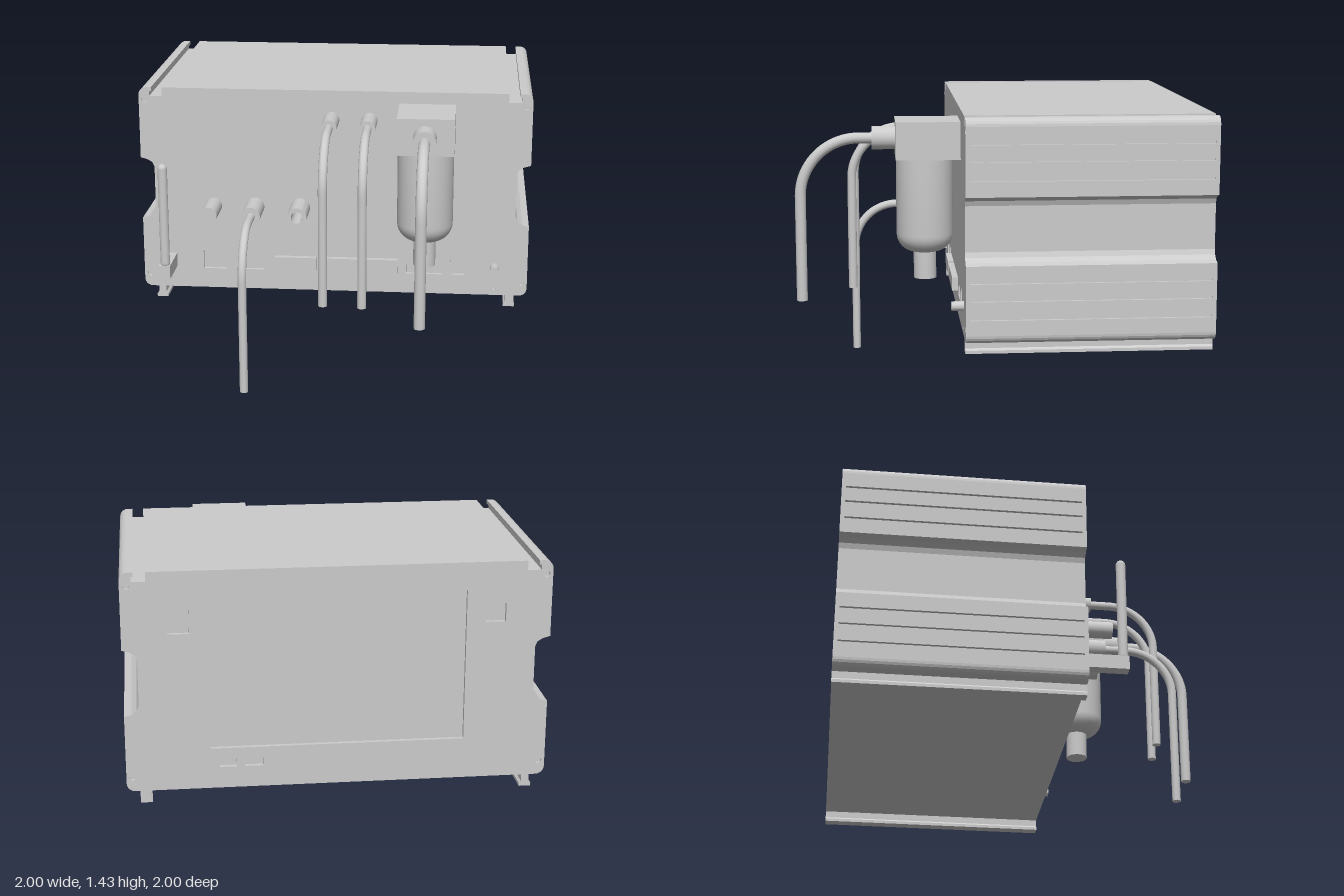
import * as THREE from 'three';
import { toCreasedNormals } from 'three/addons/utils/BufferGeometryUtils.js';

const V = (x, y, z) => new THREE.Vector3(x, y, z);
const FRONT = 0.19, BACK = -1, PLATE = 0.02;

export function createModel() {
  const model = new THREE.Group();
  const material = new THREE.MeshStandardMaterial({ color: 0xcccccc, side: THREE.DoubleSide });

  const add = (name, geometry, x = 0, y = 0, z = 0) => {
    const mesh = new THREE.Mesh(geometry, material);
    mesh.name = name;
    mesh.position.set(x, y, z);
    model.add(mesh);
    return mesh;
  };
  // Box given by its limits on each axis
  const box = (name, x0, x1, y0, y1, z0, z1) =>
    add(name, new THREE.BoxGeometry(x1 - x0, y1 - y0, z1 - z0), (x0 + x1) / 2, (y0 + y1) / 2, (z0 + z1) / 2);
  // Cylinder along z
  const rod = (name, x, y, r, z0, z1) =>
    add(name, new THREE.CylinderGeometry(r, r, z1 - z0, 28).rotateX(Math.PI / 2), x, y, (z0 + z1) / 2);
  // Hole outlines for the panels
  const rectHole = (x0, x1, y0, y1) =>
    new THREE.Path([[x0, y0], [x0, y1], [x1, y1], [x1, y0]].map(p => new THREE.Vector2(...p)));
  const roundHole = (x, y, r) => new THREE.Path().absarc(x, y, r, 0, Math.PI * 2, true);

  // Housing cross-section: rails below, T-slots above, side channels, optional fine side grooves
  function profile(grooved) {
    const half = [];
    const corner = (cy, from) => {
      for (let i = 0; i <= 5; i++) {
        const a = from + (i / 5) * Math.PI / 2;
        half.push([0.96 + 0.04 * Math.cos(a), cy + 0.04 * Math.sin(a)]);
      }
    };
    const grooves = ys => {
      if (grooved) for (const y of ys)
        half.push([1, y - 0.006], [0.985, y - 0.006], [0.985, y + 0.006], [1, y + 0.006]);
    };
    half.push([0.89, 0.36], [0.89, 0.325], [0.88, 0.315], [0.88, 0.3],
      [0.937, 0.3], [0.937, 0.315], [0.927, 0.325], [0.927, 0.36]);
    corner(0.4, -Math.PI / 2);
    grooves([0.48, 0.57, 0.655]);
    half.push([1, 0.735], [0.965, 0.745], [0.94, 0.765], [0.93, 0.79],
      [0.93, 1.01], [0.94, 1.035], [0.965, 1.05], [1, 1.06]);
    grooves([1.14, 1.23, 1.31]);
    corner(1.39, 0);
    half.push([0.935, 1.43], [0.935, 1.41], [0.945, 1.41], [0.945, 1.385], [0.88, 1.385], [0.88, 1.43]);
    const mirrored = half.map(([x, y]) => [-x, y]).reverse();
    return new THREE.Shape([...half, ...mirrored].map(p => new THREE.Vector2(...p)));
  }
  const extrude = (name, shape, z0, z1) =>
    add(name, new THREE.ExtrudeGeometry(shape, { depth: z1 - z0, bevelEnabled: false, curveSegments: 10 }), 0, 0, z0);
  const screwHoles = () => [-0.97, 0.97].flatMap(x => [0.43, 1.365].map(y => roundHole(x, y, 0.016)));

  // Housing core between the two end panels
  extrude('housing', profile(true), BACK + PLATE, FRONT - PLATE);

  // Front panel with sockets
  const frontPanel = profile(false);
  const steppedSocket = new THREE.Path([[0.375, 0.465], [0.375, 0.515], [0.41, 0.515], [0.41, 0.53],
    [0.53, 0.53], [0.53, 0.515], [0.56, 0.515], [0.56, 0.465]].map(p => new THREE.Vector2(...p)));
  frontPanel.holes = [...screwHoles(), rectHole(-0.685, -0.565, 0.465, 0.56),
    rectHole(-0.49, -0.37, 0.465, 0.56), rectHole(0.605, 0.675, 0.465, 0.55),
    steppedSocket, roundHole(0.83, 0.4, 0.013)];
  extrude('frontPanel', frontPanel, FRONT - PLATE, FRONT);

  // Back panel with recessed screen, side switches and small ports
  const backPanel = profile(false);
  backPanel.holes = [...screwHoles(), rectHole(-0.6, 0.6, 0.56, 1.295),
    rectHole(0.69, 0.79, 1.13, 1.26), rectHole(-0.785, -0.69, 1.14, 1.23),
    rectHole(0.48, 0.56, 0.465, 0.505), rectHole(0.355, 0.44, 0.465, 0.505)];
  extrude('backPanel', backPanel, BACK, BACK + PLATE);

  // Terminal strips and knob on the front
  box('terminalStrip', -0.31, -0.09, 0.475, 0.545, FRONT - 0.01, 0.22);
  box('terminalStrip', -0.045, 0.33, 0.475, 0.545, FRONT - 0.01, 0.22);
  rod('knob', 0.83, 0.51, 0.023, FRONT - 0.01, 0.25);

  // Antenna on its bracket
  box('antennaBracket', -0.885, -0.825, 0.475, 0.545, FRONT - 0.01, 0.405);
  const antenna = new THREE.CapsuleGeometry(0.024, 0.5, 6, 20);
  add('antenna', antenna, -0.853, 0.806, 0.38);

  // Connector plugs
  rod('plug', -0.625, 0.81, 0.042, FRONT - 0.01, 0.37);
  for (const [x, y, r] of [[-0.41, 0.81, 0.048], [-0.013, 1.28, 0.04], [0.18, 1.28, 0.04]])
    rod('cablePlug', x, y, r, FRONT - 0.01, 0.37);
  const ring = new THREE.Shape().absarc(0, 0, 0.05, 0, Math.PI * 2);
  ring.holes.push(roundHole(0, 0, 0.03));
  add('openSocket', toCreasedNormals(new THREE.ExtrudeGeometry(ring,
    { depth: 0.18, bevelEnabled: false, curveSegments: 24 }), 0.6), -0.175, 0.81, FRONT);

  // Cable leaving forward, bending down through a quarter circle, then hanging straight
  function cable(name, x, y, z0, z1, bend, yEnd, r) {
    const k = 0.552 * bend, path = new THREE.CurvePath();
    path.add(new THREE.LineCurve3(V(x, y, z0), V(x, y, z1 - bend)));
    path.add(new THREE.CubicBezierCurve3(V(x, y, z1 - bend), V(x, y, z1 - bend + k),
      V(x, y - bend + k, z1), V(x, y - bend, z1)));
    path.add(new THREE.LineCurve3(V(x, y - bend, z1), V(x, yEnd, z1)));
    add(name, new THREE.TubeGeometry(path, 64, r, 16));
    add(name + 'End', new THREE.CircleGeometry(r, 16).rotateX(Math.PI / 2), x, yEnd, z1);
  }
  cable('lowCable', -0.41, 0.81, 0.36, 0.713, 0.23, 0, 0.021);
  cable('highCable', -0.013, 1.28, 0.36, 0.71, 0.24, 0.47, 0.022);
  cable('highCable', 0.18, 1.28, 0.36, 0.723, 0.24, 0.47, 0.022);

  // Filter: head block, rounded bowl, drain, hose fitting and hose
  box('filterHead', 0.33, 0.615, 1.185, 1.37, FRONT - 0.01, 0.505);
  const bowl = [new THREE.Vector2(0, 0.715)];
  for (let i = 0; i <= 8; i++) {
    const a = (i / 8) * Math.PI / 2;
    bowl.push(new THREE.Vector2(0.05 + 0.09 * Math.sin(a), 0.805 - 0.09 * Math.cos(a)));
  }
  bowl.push(new THREE.Vector2(0.14, 1.19));
  add('filterBowl', toCreasedNormals(new THREE.LatheGeometry(bowl, 40), 0.5), 0.472, 0, 0.362);
  add('filterDrain', new THREE.CylinderGeometry(0.056, 0.056, 0.16, 28), 0.472, 0.66, 0.362);
  rod('hoseFitting', 0.47, 1.28, 0.057, 0.495, 0.62);
  cable('hose', 0.47, 1.28, 0.61, 0.973, 0.29, 0.47, 0.027);

  return model;
}
